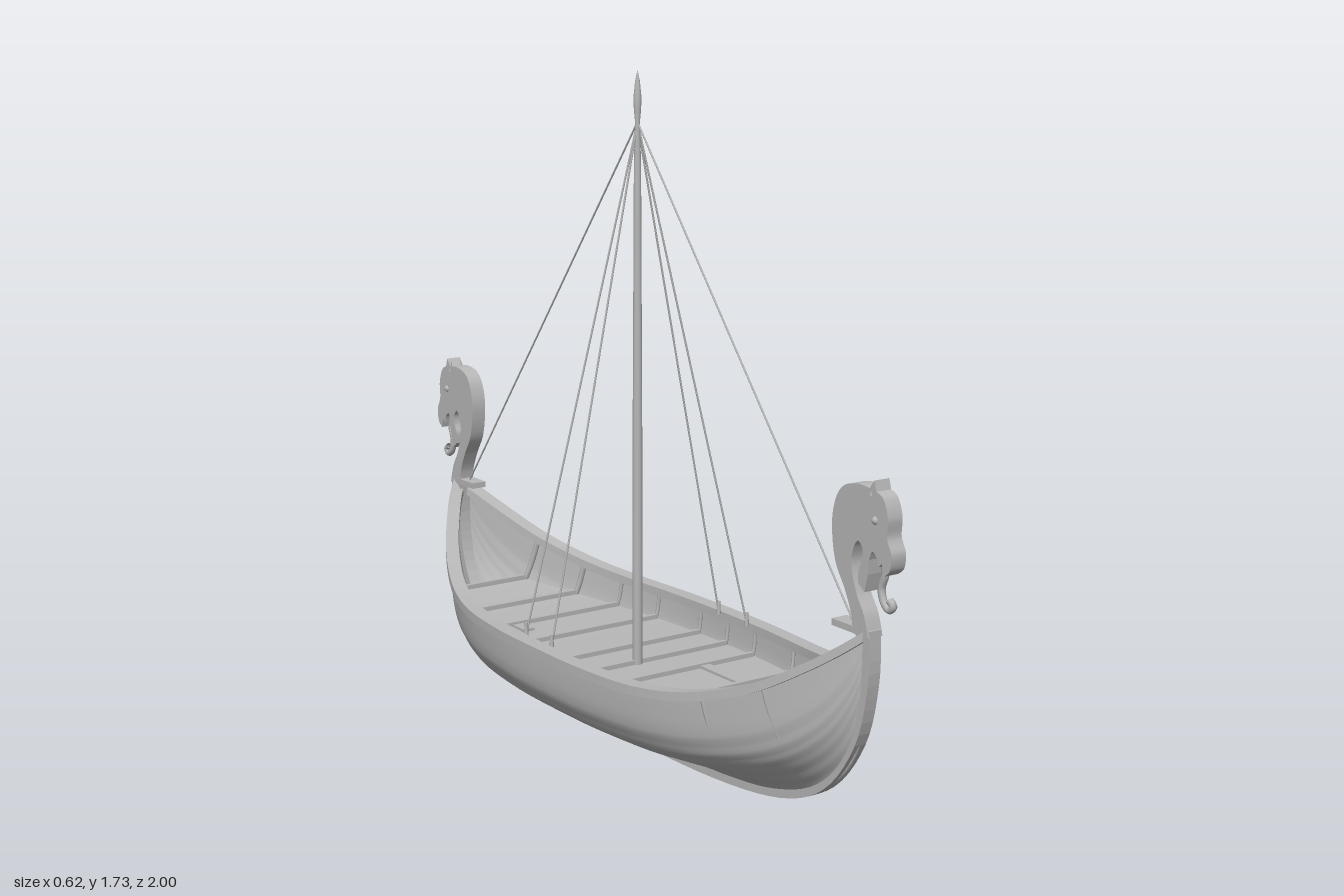
import * as THREE from 'three';

const V = (x, y, z) => new THREE.Vector3(x, y, z);
const lerp = THREE.MathUtils.lerp;
const wood = new THREE.MeshStandardMaterial({ color: 0xb8b8b8, side: THREE.DoubleSide });
wood.name = 'weathered grey wood';

// Half-length hull lines (sheer: half width, y, z; keel: y, z), mirrored fore and aft
const sheerPts = [[.299, .3, 0], [.294, .3, .2], [.27, .305, .4], [.227, .326, .55],
  [.16, .376, .7], [.1, .436, .8], [.05, .488, .87], [.012, .525, .91]];
const keelPts = [[.012, 0], [.014, .2], [.022, .42], [.046, .6], [.1, .755], [.19, .855], [.32, .905], [.5, .918]];
const bothEnds = (pts) => new THREE.CatmullRomCurve3(
  [...pts.slice(1).reverse().map((p) => V(p.x, p.y, -p.z)), ...pts]);
const sheer = bothEnds(sheerPts.map((p) => V(...p)));
const keel = bothEnds(keelPts.map(([y, z]) => V(0, y, z)));
const section = new THREE.SplineCurve([[0, 0], [.1, .07], [.38, .2], [.7, .33], [.89, .47], [.985, .7], [1, 1]]
  .map((p) => new THREE.Vector2(...p)));

// Point on the hull: t runs stern to bow, s runs keel (0) to sheer (±1)
function hullPoint(t, s) {
  const top = sheer.getPoint(t), low = keel.getPoint(t);
  const q = section.getPoint(Math.abs(s)), blend = (2 * t - 1) ** 2;
  const u = lerp(q.x, Math.pow(Math.max(q.y, 0), .85), blend);
  return V(Math.sign(s) * top.x * u, lerp(low.y, top.y, q.y), lerp(low.z, top.z, q.y));
}

// Solve an increasing function on 0..1
function solve(f, target) {
  let a = 0, b = 1;
  for (let i = 0; i < 25; i++) {
    const m = (a + b) / 2;
    if (f(m) < target) a = m; else b = m;
  }
  return (a + b) / 2;
}

// Where the deck meets the hull at a given z
const deckY = (z) => .205 + .04 * Math.pow(Math.abs(z) / .75, 4);
const deckS = (t, y) => solve((s) => hullPoint(t, s).y, y);
function deckEdge(z) {
  const y = deckY(z), t = solve((k) => hullPoint(k, deckS(k, y)).z, z), s = deckS(t, y);
  return { t, s, point: hullPoint(t, s) };
}

// Surface from a grid of points
function grid(nu, nv, fn) {
  const pos = [], idx = [];
  for (let i = 0; i <= nu; i++) for (let j = 0; j <= nv; j++) pos.push(...fn(i / nu, j / nv).toArray());
  for (let i = 0; i < nu; i++) for (let j = 0; j < nv; j++) {
    const a = i * (nv + 1) + j, b = a + nv + 1;
    idx.push(a, a + 1, b, a + 1, b + 1, b);
  }
  const g = new THREE.BufferGeometry();
  g.setAttribute('position', new THREE.Float32BufferAttribute(pos, 3));
  g.setIndex(idx);
  g.computeVertexNormals();
  return g;
}

function add(parent, name, geo, x = 0, y = 0, z = 0) {
  const m = new THREE.Mesh(geo, wood);
  m.name = name;
  m.position.set(x, y, z);
  parent.add(m);
  return m;
}

const tube = (pts, r, n = 12, sides = 6) => new THREE.TubeGeometry(new THREE.CatmullRomCurve3(pts), n, r, sides);
const vec2s = (pts) => pts.map((p) => new THREE.Vector2(...p));

// Side silhouette in (z, y), given a thickness across x
function slab(shape, width, bevel = 0) {
  const g = new THREE.ExtrudeGeometry(shape, { depth: width - 2 * bevel, curveSegments: 8,
    bevelEnabled: bevel > 0, bevelSize: bevel, bevelThickness: bevel, bevelOffset: -bevel, bevelSegments: 1 });
  return g.translate(0, 0, bevel - width / 2).rotateY(-Math.PI / 2);
}

function buildHull(ship) {
  // Planked skin with gently overlapping strakes
  add(ship, 'hullPlanking', grid(80, 64, (i, j) => {
    const s = j * 2 - 1, a = Math.abs(s), p = hullPoint(i, s);
    if (a < .86) p.x += Math.sign(s) * .004 * (1 - (a * 8) % 1) * (1 - (2 * i - 1) ** 4);
    return p;
  }));

  // Keel curving up into both stems
  const outer = [[0, 0], [.36, .008], [.62, .042], [.78, .115], [.885, .25], [.925, .4], [.928, .53]];
  const inner = [[0, .025], [.36, .034], [.6, .064], [.75, .13], [.85, .26], [.885, .4], [.88, .53]];
  const full = (pts) => new THREE.SplineCurve(vec2s(
    [...pts.slice(1).reverse().map(([z, y]) => [-z, y]), ...pts])).getPoints(60);
  add(ship, 'keelAndStems', slab(new THREE.Shape([...full(outer), ...full(inner).reverse()]), .034));

  // Gunwales: rectangular section swept along the sheer
  const corners = [[.009, -.022], [.009, .001], [-.032, .001], [-.032, -.022], [.009, -.022]];
  for (const side of [-1, 1]) {
    const rail = new THREE.Group();
    rail.name = side > 0 ? 'leftGunwale' : 'rightGunwale';
    for (let k = 0; k < 4; k++) {
      add(rail, 'gunwaleFace', grid(80, 1, (i, j) => {
        const p = sheer.getPoint(i), [dx, dy] = corners[k + (side > 0 ? j : 1 - j)];
        return V(side * Math.max(p.x + dx, 0), p.y + dy, p.z);
      }));
    }
    ship.add(rail);
  }
}

function buildDeck(ship) {
  add(ship, 'deck', grid(40, 2, (i, j) => {
    const p = deckEdge(lerp(-.75, .75, i)).point;
    return V(p.x * .99 * (1 - j * 2), p.y, p.z);
  }));

  // Cross beams and ribs
  for (const z of [-.74, -.59, -.45, -.3, -.12, 0, .12, .3, .45, .59, .74]) {
    const { t, s, point } = deckEdge(z);
    add(ship, 'crossBeam', new THREE.BoxGeometry(point.x * 1.95, .016, .012), 0, point.y + .004, z);
    for (const side of [-1, 1]) {
      const pts = [0, .33, .66, .97].map((k) => {
        const p = hullPoint(t, lerp(s, 1, k));
        return V(side * (p.x - .006), p.y, p.z);
      });
      add(ship, 'rib', tube(pts, Math.abs(z) > .5 ? .008 : .005));
    }
  }

  // Loose boards lying on the deck
  for (const [x, z, w, l] of [[.125, .2, .03, .16], [-.09, -.42, .035, .06]]) {
    add(ship, 'deckBoard', new THREE.BoxGeometry(w, .008, l), x, deckY(z) + .003, z);
  }
}

function buildRig(ship) {
  // Mast with a pointed finial
  const mast = [[0, .19], [.013, .19], [.013, .5], [.012, .9], [.009, 1.5], [.006, 1.6],
    [.009, 1.63], [.01, 1.66], [.006, 1.7], [0, 1.728]];
  add(ship, 'mast', new THREE.LatheGeometry(vec2s(mast), 12));

  // Stays to the stems and shrouds to the rails
  const feet = [[0, .53, .855], [0, .53, -.855], [.26, .3, .125], [-.26, .3, -.125], [.262, .3, 0], [-.262, .3, 0]];
  for (const f of feet) {
    add(ship, f[0] ? 'shroud' : 'stay', new THREE.TubeGeometry(new THREE.LineCurve3(V(0, 1.6, 0), V(...f)), 1, .0025, 6));
    if (f[0]) add(ship, 'shroudBlock', new THREE.CylinderGeometry(.004, .006, .035, 8), f[0], .312, f[2]);
  }
}

// Carved beast head on a curved neck, facing +z
function buildFigurehead() {
  const head = new THREE.Group();
  const s = new THREE.Shape();
  s.moveTo(.928, .515);
  s.lineTo(.875, .515);
  s.splineThru(vec2s([[.868, .56], [.845, .61], [.81, .67], [.797, .75], [.808, .81], [.835, .845], [.88, .858], [.922, .856]]));
  s.lineTo(.938, .876);
  s.lineTo(.945, .852);
  s.splineThru(vec2s([[.968, .84], [.984, .8], [.983, .755], [.998, .72], [.994, .685], [.975, .668]]));
  s.lineTo(.968, .695);
  s.lineTo(.956, .685);
  s.splineThru(vec2s([[.95, .705], [.935, .715], [.925, .695]]));
  s.lineTo(.922, .66);
  s.lineTo(.912, .618);
  s.lineTo(.89, .635);
  s.splineThru(vec2s([[.891, .665], [.902, .69], [.902, .715], [.887, .73], [.872, .71], [.866, .67], [.885, .61], [.912, .565], [.928, .515]]));
  add(head, 'neckAndHead', slab(s, .042));

  // Curled tongue, eyes and ears
  add(head, 'curledTongue', tube([V(0, .71, .945), V(0, .67, .957), V(0, .63, .945), V(0, .6, .955),
    V(0, .588, .973), V(0, .6, .985), V(0, .61, .972)], .009, 30, 8));
  for (const side of [-1, 1]) {
    add(head, 'eye', new THREE.SphereGeometry(.01, 12, 8), side * .018, .787, .942);
    add(head, 'ear', new THREE.ConeGeometry(.008, .03, 6), side * .016, .855, .925);
  }

  // Cleat that takes the stay
  add(head, 'stayCleat', new THREE.BoxGeometry(.044, .016, .09), 0, .524, .848);
  return head;
}

export function createModel() {
  const ship = new THREE.Group();
  ship.name = 'longship';
  buildHull(ship);
  buildDeck(ship);
  buildRig(ship);
  for (const [name, turn] of [['bowFigurehead', 0], ['sternFigurehead', Math.PI]]) {
    const head = buildFigurehead();
    head.name = name;
    head.rotation.y = turn;
    ship.add(head);
  }
  return ship;
}
